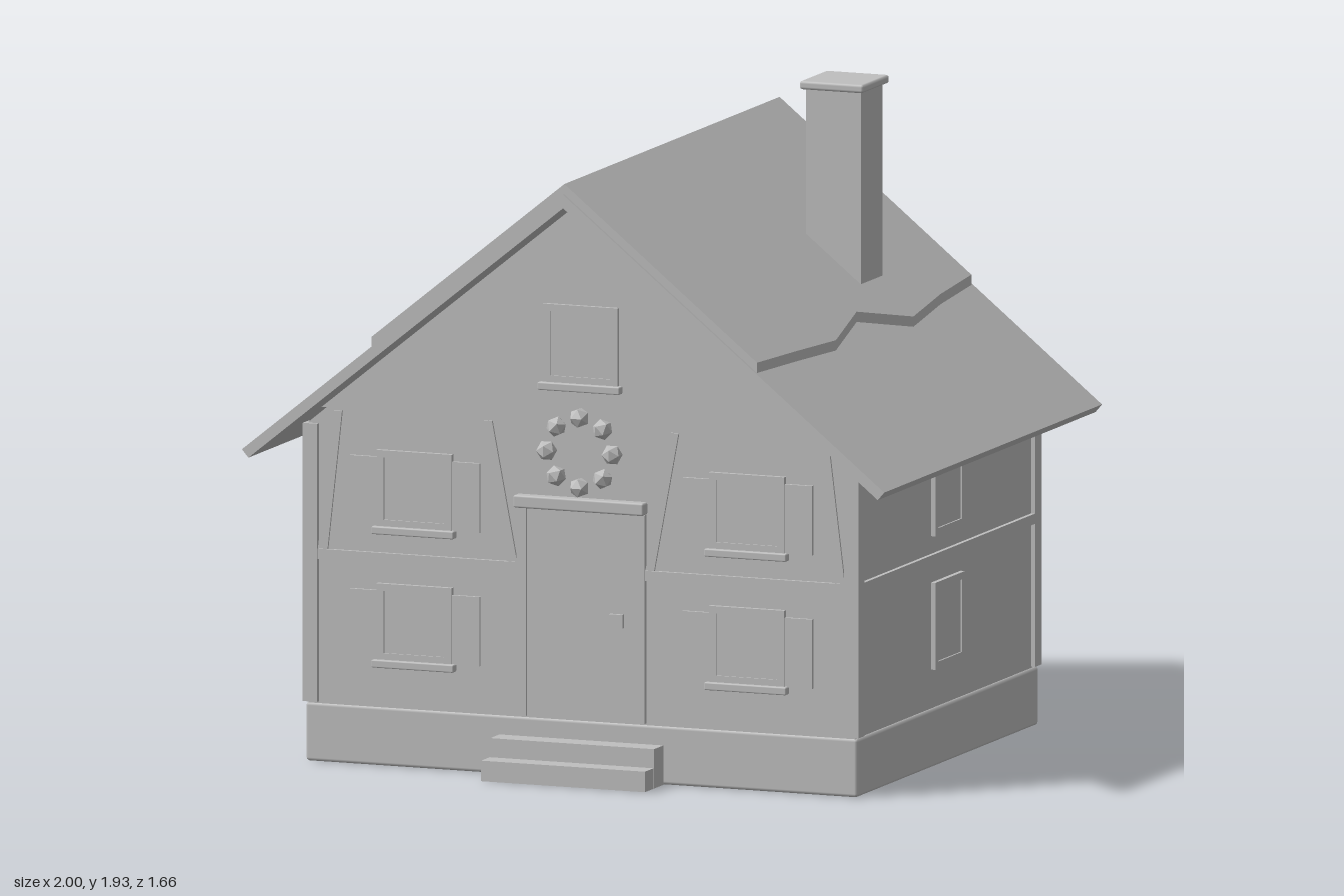
import * as THREE from 'three';
import { RoundedBoxGeometry } from 'three/addons/geometries/RoundedBoxGeometry.js';

export function createModel() {
  const house = new THREE.Group();
  house.name = 'house';
  const plaster = new THREE.MeshStandardMaterial({ color: 0xbfbfbf });
  plaster.name = 'plain grey';

  const add = (name, geometry, parent = house) => {
    const mesh = new THREE.Mesh(geometry, plaster);
    mesh.name = name;
    parent.add(mesh);
    return mesh;
  };
  // Box given by its limits on each axis
  const block = (name, x0, x1, y0, y1, z0, z1, parent = house, bevel = 0) => {
    const size = [x1 - x0, y1 - y0, z1 - z0];
    const geometry = bevel ? new RoundedBoxGeometry(...size, 1, bevel) : new THREE.BoxGeometry(...size);
    add(name, geometry, parent).position.set((x0 + x1) / 2, (y0 + y1) / 2, (z0 + z1) / 2);
  };
  const outline = (points) => new THREE.Shape(points.map(([x, y]) => new THREE.Vector2(x, y)));
  // Outline in x and y, extruded from z0 to z1
  const slab = (name, points, z0, z1) =>
    add(name, new THREE.ExtrudeGeometry(outline(points), { depth: z1 - z0, bevelEnabled: false }).translate(0, 0, z0));

  const SLOPE = 0.807, RIDGE = 1.73, WALL_X = 0.852, WALL_Z = 0.685, POST_X = 0.865, POST_Z = 0.697;

  // Foundation and front steps
  block('foundation', -0.86, 0.86, 0, 0.172, -0.69, 0.69, house, 0.01);
  block('upperStep', -0.255, 0.255, 0, 0.115, 0.68, 0.76);
  block('lowerStep', -0.255, 0.255, 0, 0.06, 0.765, 0.83);

  // Walls with a gable at each end
  slab('walls', [[-WALL_X, 0.17], [WALL_X, 0.17], [WALL_X, 0.99], [0, 1.69], [-WALL_X, 0.99]], -WALL_Z, WALL_Z);
  for (const s of [-1, 1]) {
    const z = s * (WALL_Z + 0.002);
    slab('gable', [[-0.81, 1.037], [0.81, 1.037], [0, 1.69]], z - 0.002, z + 0.002);
  }

  // Timber frame: corner posts and floor beams
  for (const sx of [-1, 1]) {
    for (const sz of [-1, 1]) {
      const x = sx * 0.8425, z = sz * 0.6735;
      block('cornerPost', x - 0.0225, x + 0.0225, 0.175, 0.988, z - 0.0235, z + 0.0235);
    }
    const x = sx * 0.855;
    block('sideBeam', x - 0.009, x + 0.009, 0.593, 0.623, -0.65, 0.65);
    block('frontBeam', sx > 0 ? 0.2 : -0.82, sx > 0 ? 0.82 : -0.2, 0.593, 0.623, 0.67, POST_Z - 0.001);
    block('doorPost', sx > 0 ? 0.17 : -0.2, sx > 0 ? 0.2 : -0.17, 0.175, 0.785, 0.67, POST_Z);
    // Slanting braces of the upper floor
    const brace = (points) => slab('brace', points.map(([px, py]) => [sx * px, py]), 0.68, 0.692);
    brace([[0.82, 0.623], [0.79, 0.623], [0.745, 1.03], [0.77, 1.03]]);
    brace([[0.2, 0.623], [0.227, 0.623], [0.303, 1.03], [0.278, 1.03]]);
  }
  block('backBeam', -0.82, 0.82, 0.593, 0.623, -POST_Z + 0.001, -0.67);

  // Door
  block('door', -0.17, 0.17, 0.175, 0.785, 0.67, 0.69);
  block('doorLintel', -0.203, 0.203, 0.785, 0.822, 0.67, 0.717, house, 0.006);
  block('doorHandle', 0.09, 0.132, 0.45, 0.49, 0.685, 0.702);

  // Window facing +z, built around its own centre
  const makeWindow = (name, w, h, { sill = false, shutters = false } = {}) => {
    const group = new THREE.Group();
    group.name = name;
    const frame = outline([[-w, -h], [w, -h], [w, h], [-w, h]]);
    const a = w - 0.023, b = h - 0.021;
    frame.holes.push(new THREE.Path([[-a, -b], [-a, b], [a, b], [a, -b]].map((p) => new THREE.Vector2(...p))));
    add('windowFrame', new THREE.ExtrudeGeometry(frame, { depth: 0.014, bevelEnabled: false }), group);
    block('windowPane', -a, a, -b, b, 0, 0.009, group);
    if (sill) block('windowSill', -w - 0.011, w + 0.011, -h - 0.021, -h + 0.002, 0, 0.028, group, 0.004);
    if (shutters) {
      for (const s of [-1, 1]) {
        const x = s * (w + 0.0425);
        block('shutter', x - 0.0425, x + 0.0425, -h, h - 0.021, 0, 0.01, group);
      }
    }
    house.add(group);
    return group;
  };
  for (const sx of [-1, 1]) {
    for (const y of [0.422, 0.812]) {
      makeWindow('frontWindow', 0.117, 0.112, { sill: true, shutters: true }).position.set(sx * 0.518, y, WALL_Z);
    }
    for (const y of [0.412, 0.802]) {
      const side = makeWindow('sideWindow', 0.113, 0.127);
      side.position.set(sx * WALL_X, y, 0);
      side.rotation.y = sx * Math.PI / 2;
    }
  }
  makeWindow('atticWindow', 0.117, 0.115, { sill: true }).position.set(0, 1.27, WALL_Z + 0.002);

  // Wreath over the door
  const wreath = new THREE.Group();
  wreath.name = 'wreath';
  wreath.position.set(0, 0.957, 0.706);
  for (let i = 0; i < 8; i++) {
    const angle = i * Math.PI / 4;
    const bud = add('wreathBud', new THREE.IcosahedronGeometry(0.031, 0), wreath);
    bud.position.set(Math.cos(angle) * 0.102, Math.sin(angle) * 0.102, 0);
    bud.rotation.z = angle;
  }
  house.add(wreath);

  // Main roof, eave edges square to the slope
  slab('roof', [[0, RIDGE], [-1, RIDGE - SLOPE], [-0.98, RIDGE - SLOPE - 0.0235], [0, RIDGE - 0.0395],
    [0.98, RIDGE - SLOPE - 0.0235], [1, RIDGE - SLOPE]], -0.83, 0.83);

  // Upper roof layer with a wavy lower edge, laid out in plan and sheared onto the slope
  const edges = { 1: [0.6, 0.61, 0.622, 0.575, 0.64, 0.613, 0.597], '-1': [0.6, 0.59, 0.64, 0.63, 0.645, 0.605, 0.6] };
  for (const s of [-1, 1]) {
    const edge = edges[s].map((x, i) => [s * x, -0.82 + i * 0.82 / 3]);
    const layer = new THREE.ExtrudeGeometry(outline([[0, -0.82], ...edge, [0, 0.82]]), { depth: 0.03, bevelEnabled: false });
    layer.applyMatrix4(new THREE.Matrix4().makeBasis(
      new THREE.Vector3(1, -s * SLOPE, 0), new THREE.Vector3(0, 0, -1), new THREE.Vector3(0, 1, 0)
    ).setPosition(0, RIDGE, 0));
    add('roofLayer', layer);
  }

  // Chimney
  block('chimney', 0.345, 0.515, 1.25, 1.908, -0.345, -0.178);
  block('chimneyCap', 0.33, 0.53, 1.905, 1.93, -0.362, -0.16, house, 0.008);

  return house;
}
